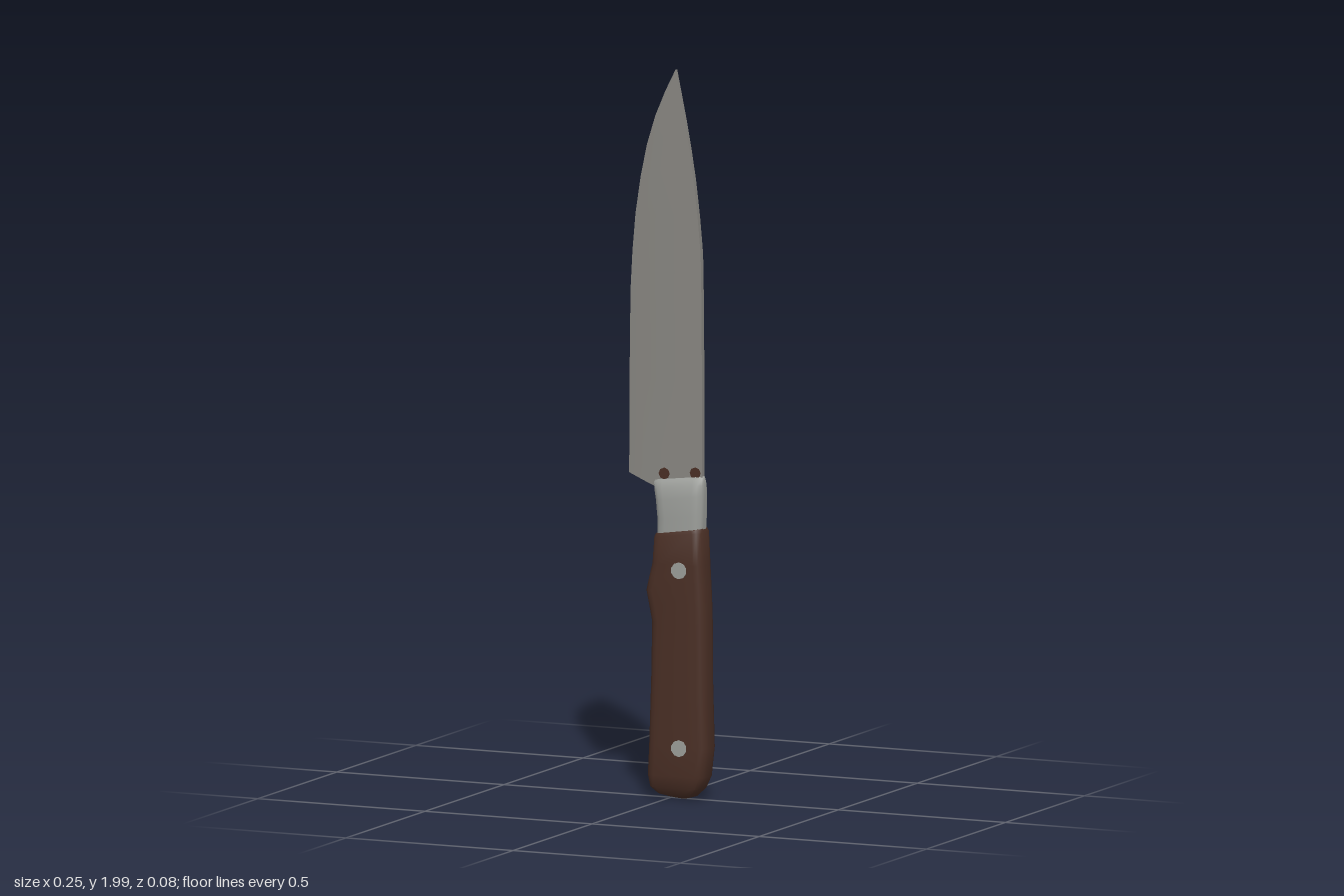
import * as THREE from 'three';
import { toCreasedNormals } from 'three/addons/utils/BufferGeometryUtils.js';

const mat = (name, color) => new THREE.MeshStandardMaterial({ name, color });

// Joins cross-sections along y. Each row: [yLow side -x, y side +x, xMin, xMax, halfDepth].
// section(width, halfDepth) returns [offset from xMin, z] points, running +z side, +x, -z side, -x.
function loft(rows, section, crease) {
  const pos = [], idx = [];
  let n = 0;
  for (const [yA, yB, xA, xB, h] of rows) {
    const ring = section(xB - xA, h);
    n = ring.length;
    for (const [dx, z] of ring) pos.push(xA + dx, THREE.MathUtils.lerp(yA, yB, dx / (xB - xA)), z);
  }
  for (let r = 0; r < rows.length - 1; r++) {
    for (let i = 0; i < n; i++) {
      const a = r * n + i, b = r * n + (i + 1) % n;
      idx.push(a, b, b + n, a, b + n, a + n);
    }
  }
  const top = (rows.length - 1) * n;
  for (let i = 1; i < n - 1; i++) {
    idx.push(0, i + 1, i, top, top + i, top + i + 1);
  }
  const g = new THREE.BufferGeometry();
  g.setAttribute('position', new THREE.Float32BufferAttribute(pos, 3));
  g.setIndex(idx);
  return toCreasedNormals(g, crease);
}

// Flat-sided section with rounded corners of the given size
const rounded = (size) => (w, h) => {
  const cx = Math.min(size, w * 0.45), cz = Math.min(size, h * 0.75), pts = [];
  const corners = [[w - cx, h - cz, 0], [w - cx, cz - h, 1], [cx, cz - h, 2], [cx, h - cz, 3]];
  for (const [x, z, q] of corners) {
    for (let k = 0; k <= 3; k++) {
      const t = (q + k / 3) * Math.PI / 2;
      pts.push([x + Math.sin(t) * cx, z + Math.cos(t) * cz]);
    }
  }
  return pts;
};

// Blade section: sharp edge at -x, bevel, thick spine at +x
const wedge = (w, h) => [
  [0, 0.001], [w * 0.2, h * 0.75], [w, h], [w, -h], [w * 0.2, -h * 0.75], [0, -0.001],
];

export function createModel() {
  const model = new THREE.Group();
  model.name = 'kitchenKnife';
  const steel = mat('bladeSteel', 0x8a8883);
  const bright = mat('bolsterSteel', 0x9c9e9a);
  const wood = mat('darkWood', 0x4a2f25);
  const add = (name, geometry, material) => {
    const mesh = new THREE.Mesh(geometry, material);
    mesh.name = name;
    model.add(mesh);
    return mesh;
  };

  // Blade, curving to a point
  add('blade', loft([
    [0.888, 0.80, -0.125, 0.097, 0.008],
    [1.15, 1.15, -0.124, 0.096, 0.008],
    [1.39, 1.39, -0.121, 0.094, 0.008],
    [1.5, 1.5, -0.115, 0.092, 0.008],
    [1.6, 1.6, -0.106, 0.083, 0.008],
    [1.7, 1.7, -0.091, 0.071, 0.008],
    [1.79, 1.79, -0.072, 0.057, 0.007],
    [1.87, 1.87, -0.047, 0.042, 0.007],
    [1.94, 1.94, -0.017, 0.028, 0.006],
    [2.0, 2.0, 0.014, 0.016, 0.005],
  ], wedge, 0.4), steel);

  // Bolster between blade and handle
  add('bolster', loft([
    [0.70, 0.72, -0.036, 0.100, 0.030],
    [0.77, 0.785, -0.036, 0.102, 0.030],
    [0.82, 0.84, -0.041, 0.103, 0.029],
    [0.85, 0.87, -0.047, 0.103, 0.024],
    [0.868, 0.885, -0.050, 0.101, 0.016],
    [0.874, 0.892, -0.049, 0.099, 0.010],
  ], rounded(0.03), 0.7), bright);

  // Handle with finger swell and rounded butt
  add('handle', loft([
    [0.012, 0.006, -0.012, 0.045, 0.012],
    [0.018, 0.014, -0.035, 0.075, 0.024],
    [0.036, 0.036, -0.055, 0.098, 0.035],
    [0.07, 0.07, -0.060, 0.112, 0.040],
    [0.15, 0.15, -0.056, 0.121, 0.040],
    [0.33, 0.33, -0.050, 0.116, 0.040],
    [0.49, 0.49, -0.047, 0.115, 0.040],
    [0.53, 0.53, -0.055, 0.114, 0.040],
    [0.575, 0.575, -0.064, 0.112, 0.040],
    [0.61, 0.61, -0.056, 0.110, 0.040],
    [0.65, 0.65, -0.046, 0.108, 0.040],
    [0.722, 0.74, -0.041, 0.104, 0.039],
    [0.73, 0.75, -0.038, 0.100, 0.035],
  ], rounded(0.025), 0.7), wood);

  // Rivets through the handle
  for (const [name, y] of [['upperRivet', 0.635], ['lowerRivet', 0.148]]) {
    const rivet = add(name, new THREE.CylinderGeometry(0.023, 0.023, 0.084, 10), bright);
    rivet.rotation.x = Math.PI / 2;
    rivet.position.set(0.042, y, 0);
  }

  // Small dark marks where the blade enters the bolster
  for (const [name, x, y] of [['innerMark', -0.017, 0.893], ['outerMark', 0.076, 0.9]]) {
    const mark = add(name, new THREE.CylinderGeometry(0.016, 0.016, 0.019, 8), wood);
    mark.rotation.x = Math.PI / 2;
    mark.position.set(x, y, 0);
  }
  return model;
}
